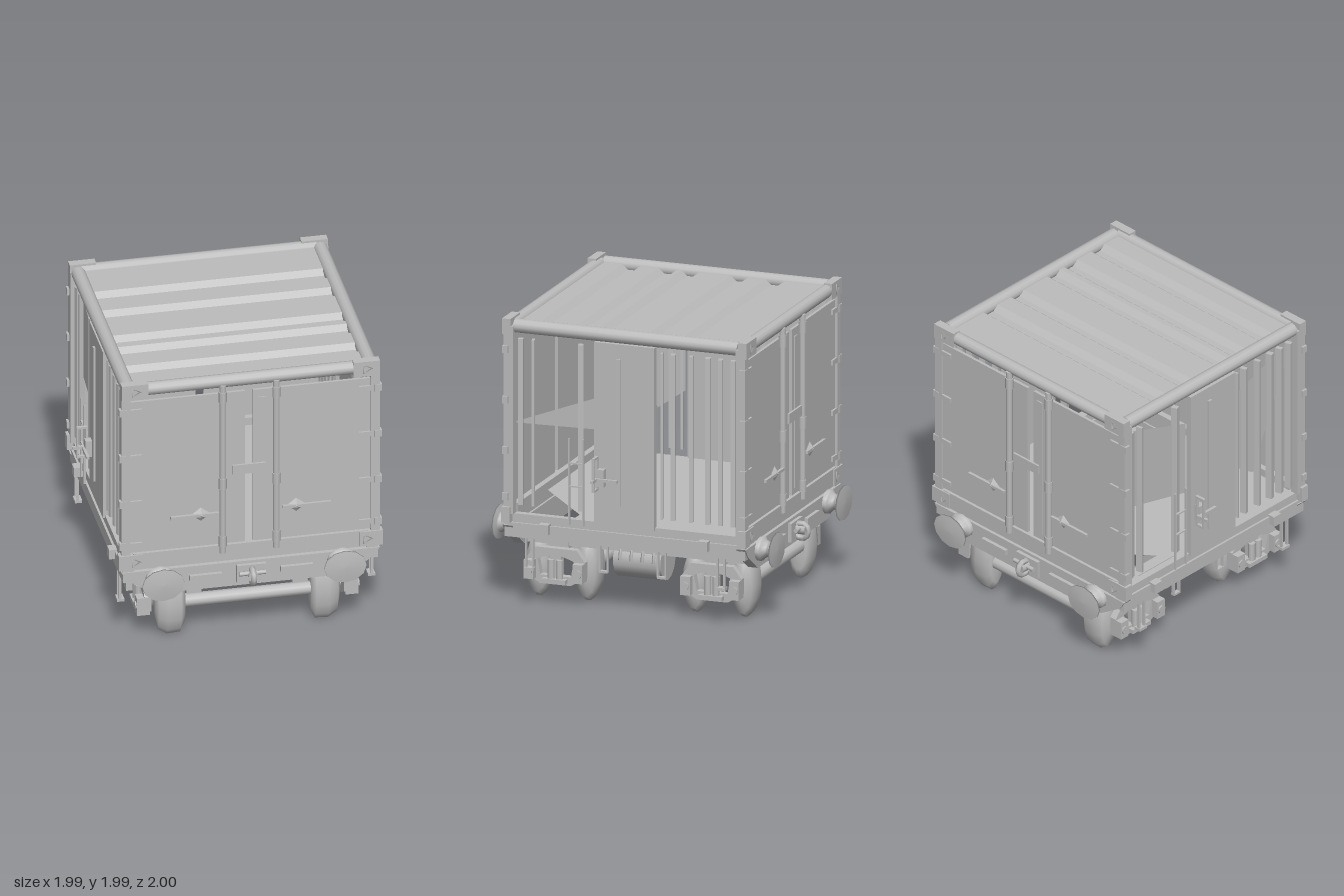
import * as THREE from 'three';

export function createModel() {
  const model = new THREE.Group();
  const grey = new THREE.MeshStandardMaterial({ color: 0xbcbcbc, side: THREE.DoubleSide });
  grey.name = 'plain grey';

  const add = (parent, name, geo, x = 0, y = 0, z = 0) => {
    const m = new THREE.Mesh(geo, grey);
    m.name = name;
    m.position.set(x, y, z);
    parent.add(m);
    return m;
  };
  const box = (p, name, w, h, d, x, y, z) => add(p, name, new THREE.BoxGeometry(w, h, d), x, y, z);
  // Cylinder laid along x, y or z
  const rod = (p, name, axis, r, len, x, y, z, sides = 10) => {
    const g = new THREE.CylinderGeometry(r, r, len, sides);
    if (axis === 'x') g.rotateZ(Math.PI / 2);
    if (axis === 'z') g.rotateX(Math.PI / 2);
    return add(p, name, g, x, y, z);
  };
  const polygon = pts => new THREE.Shape(pts.map(p => new THREE.Vector2(p[0], p[1])));
  // Flat torn sheet standing in the z-y plane
  const sideSheet = (name, x, pts) => {
    const g = new THREE.ShapeGeometry(polygon(pts.map(([z, y]) => [-z, y])));
    g.rotateY(Math.PI / 2);
    add(model, name, g, x);
  };

  // Corrugated roof, extruded across the wagon
  const edges = [[-0.48, -0.39], [-0.22, -0.14], [0.13, 0.21], [0.29, 0.375], [0.55, 0.635]];
  const top = [[-0.84, 1.96]];
  edges.forEach(([a, b]) => top.push([a - 0.022, 1.96], [a + 0.018, 1.925], [b - 0.018, 1.925], [b + 0.022, 1.96]));
  top.push([0.84, 1.96]);
  const under = top.map(([z, y]) => [z, y - 0.012]).reverse();
  const roofGeo = new THREE.ExtrudeGeometry(polygon([...top, ...under]), { depth: 1.56, bevelEnabled: false });
  roofGeo.translate(0, 0, -0.78);
  roofGeo.rotateY(-Math.PI / 2);
  add(model, 'roof', roofGeo);

  // Floor, broken away at two opposite corners
  const floorGeo = new THREE.ShapeGeometry(polygon([[-0.82, 0.83], [-0.82, -0.3], [-0.2, -0.83], [0.82, -0.83], [0.82, 0.3], [0.2, 0.83]]));
  floorGeo.rotateX(Math.PI / 2);
  add(model, 'floor', floorGeo, 0, 0.65, 0);

  // Remaining torn wall sheets
  sideSheet('leftWallSheet', 0.82, [[0.82, 1.27], [0.22, 1.28], [0.22, 1.5]]);
  sideSheet('rightWallFrontSheet', -0.82, [[0.82, 1.88], [0.22, 1.66], [0.22, 1.12], [0.42, 0.98]]);
  sideSheet('rightWallBackSheet', -0.82, [[-0.22, 1.67], [-0.82, 1.88], [-0.82, 1.27], [-0.22, 1.12]]);

  // Oval wheel profile: flange, tread and hub, narrow from front to back
  const wheelGeo = new THREE.LatheGeometry([
    [0.05, -0.1], [0.16, -0.1], [0.225, -0.07], [0.23, 0.02], [0.19, 0.08], [0.08, 0.1], [0, 0.1],
  ].map(p => new THREE.Vector2(...p)), 14);
  wheelGeo.rotateZ(-Math.PI / 2);
  wheelGeo.scale(1, 1, 0.38);

  // Bumper with a wide oval head
  const bumperGeo = new THREE.LatheGeometry([
    [0.1, 0], [0.1, 0.025], [0.085, 0.03], [0.06, 0.06], [0.065, 0.075], [0.09, 0.1], [0.09, 0.112], [0.145, 0.114], [0.143, 0.125], [0, 0.13],
  ].map(p => new THREE.Vector2(...p)), 12);
  bumperGeo.rotateX(Math.PI / 2);
  bumperGeo.scale(1, 0.82, 1);

  // Headstock beam, tapered downwards
  const headGeo = new THREE.ExtrudeGeometry(polygon([[-0.88, 0.57], [-0.84, 0.51], [-0.66, 0.39], [0.66, 0.39], [0.84, 0.51], [0.88, 0.57]]),
    { depth: 0.07, bevelEnabled: false });

  // Bogie side frame seen from the side
  const frame = polygon([[-0.21, 0.2], [-0.11, 0.14], [0.11, 0.14], [0.21, 0.2],
    [0.21, 0.31], [0.15, 0.39], [-0.15, 0.39], [-0.21, 0.31]]);
  [-1, 1].forEach(s => frame.holes.push(new THREE.Path([[0.04, 0.2], [0.11, 0.2], [0.13, 0.31], [0.04, 0.34]]
    .map(([a, b]) => new THREE.Vector2(a * s, b)))));
  const frameGeo = new THREE.ExtrudeGeometry(frame, { depth: 0.05, bevelEnabled: false });
  frameGeo.translate(0, 0, -0.025);
  frameGeo.rotateY(Math.PI / 2);

  const endHalf = () => {
    const g = new THREE.Group();
    g.name = 'wagonHalf';

    // Container end frame
    rod(g, 'topEndRail', 'x', 0.045, 1.6, 0, 1.945, 0.83, 12);
    box(g, 'bottomEndRail', 1.6, 0.12, 0.07, 0, 0.645, 0.83);
    box(g, 'rightDoor', 0.795, 1.15, 0.02, -0.4325, 1.285, 0.84);
    box(g, 'leftDoor', 0.815, 1.15, 0.02, 0.4275, 1.285, 0.84);
    box(g, 'doorSeal', 0.05, 1.05, 0.012, 0.08, 1.28, 0.853);
    box(g, 'doorPlate', 0.23, 0.07, 0.015, -0.015, 1.285, 0.885);

    // Door locking bars and handles
    [-0.19, 0.175].forEach(x => {
      rod(g, 'lockingBar', 'y', 0.023, 1.28, x, 1.29, 0.865, 8);
      [0.74, 1.18, 1.84].forEach(y => rod(g, 'barCollar', 'y', 0.028, 0.08, x, y, 0.865, 8));
    });
    [[-0.385, -0.34], [0.38, 0.31]].forEach(([x, hub]) => {
      box(g, 'doorHandle', 0.33, 0.02, 0.02, x, 0.96, 0.88);
      add(g, 'handleHub', new THREE.OctahedronGeometry(0.06).scale(1.1, 0.85, 0.5), hub, 0.96, 0.865);
    });

    // Parts on both sides of the end
    [-1, 1].forEach(s => {
      box(g, 'cornerPost', 0.06, 1.3, 0.07, s * 0.85, 1.3, 0.83);
      box(g, 'topCorner', 0.18, 0.11, 0.06, s * 0.79, 1.945, 0.845);
      box(g, 'bottomCorner', 0.16, 0.11, 0.06, s * 0.82, 0.645, 0.845);
      [1.945, 0.645].forEach(y =>
        add(g, 'cornerSocket', new THREE.TorusGeometry(0.035, 0.008, 4, 3), s * 0.79, y, 0.875));
      [0.77, 1.09, 1.44, 1.79].forEach(y => {
        box(g, 'hinge', 0.05, 0.05, 0.04, s * 0.87, y, 0.85);
        box(g, 'hingeLeaf', 0.08, 0.035, 0.015, s * 0.78, y, 0.857);
      });
      add(g, 'endBumper', bumperGeo, s * 0.62, 0.515, 0.87);
      box(g, 'headstockBox', 0.22, 0.04, 0.03, s * 0.31, 0.488, 0.88);

      // Bogie with two axles
      [0.385, 0.735].forEach(z => {
        const w = add(g, 'wheel', wheelGeo, s * 0.53, 0.235, z);
        if (s < 0) w.rotation.y = Math.PI;
        box(g, 'axleBox', 0.09, 0.13, 0.07, s * 0.71, 0.24, z);
        rod(g, 'axleCap', 'x', 0.03, 0.03, s * 0.75, 0.24, z, 8);
      });
      add(g, 'bogieFrame', frameGeo, s * 0.68, 0, 0.56);
      [-0.03, 0.03].forEach(d => rod(g, 'spring', 'y', 0.025, 0.13, s * 0.71, 0.25, 0.56 + d, 8));
      box(g, 'springCradle', 0.07, 0.03, 0.17, s * 0.71, 0.17, 0.56);
      box(g, 'bogieArm', 0.1, 0.09, 0.36, s * 0.36, 0.335, 0.56);
      box(g, 'bogieHanger', 0.1, 0.12, 0.14, s * 0.6, 0.44, 0.56);

      // Hanging steps, side lugs and brackets
      [0.66, 0.71].forEach(z => box(g, 'stepHanger', 0.02, 0.3, 0.012, s * 0.86, 0.42, z));
      box(g, 'stepTread', 0.05, 0.02, 0.07, s * 0.855, 0.28, 0.685);
      box(g, 'sideLug', 0.06, 0.07, 0.07, s * 0.88, 0.57, 0.57);
      [0.18, 0.235].forEach(z => box(g, 'bracketArm', 0.02, 0.22, 0.012, s * 0.72, 0.38, z));
      box(g, 'bracketFoot', 0.03, 0.015, 0.06, s * 0.72, 0.27, 0.208);
    });

    [0.385, 0.735].forEach(z => rod(g, 'axle', 'x', 0.047, 0.9, 0, 0.24, z, 10));
    box(g, 'bogieBolster', 1.3, 0.06, 0.12, 0, 0.43, 0.56);
    add(g, 'headstock', headGeo, 0, 0, 0.8);

    // Draw hook with coupling screw
    box(g, 'hookPlate', 0.2, 0.13, 0.03, 0, 0.485, 0.88);
    rod(g, 'hookShank', 'z', 0.035, 0.08, 0, 0.49, 0.92, 8);
    rod(g, 'couplingPin', 'x', 0.015, 0.18, 0, 0.5, 0.92, 8);
    add(g, 'drawHook', new THREE.TorusGeometry(0.05, 0.022, 6, 10).rotateY(Math.PI / 2), 0, 0.48, 0.925);

    // One long side of the wagon
    rod(g, 'topSideRail', 'z', 0.048, 1.6, 0.825, 1.945, 0, 12);
    box(g, 'bottomSideRail', 0.05, 0.06, 1.62, 0.83, 0.62, 0);
    box(g, 'chassisRail', 0.08, 0.1, 1.72, 0.83, 0.54, 0);
    box(g, 'innerSill', 0.08, 0.1, 1.62, 0.6, 0.45, 0);
    rod(g, 'airTank', 'z', 0.14, 0.34, 0.51, 0.335, 0, 14);
    [-0.12, -0.04, 0.04, 0.12].forEach(z =>
      add(g, 'tankStrap', new THREE.TorusGeometry(0.14, 0.012, 5, 14, Math.PI), 0.51, 0.34, z));

    // Side door with bar and latch
    box(g, 'sideDoor', 0.04, 1.27, 0.43, 0.85, 1.265, 0.005);
    box(g, 'sideDoorBar', 0.02, 1.02, 0.03, 0.875, 1.29, 0.045);
    box(g, 'latchBar', 0.02, 0.02, 0.17, 0.92, 0.96, 0.12);
    box(g, 'latchPlate', 0.05, 0.12, 0.05, 0.89, 0.97, 0.16);
    box(g, 'latchLever', 0.09, 0.02, 0.02, 0.95, 0.96, 0.19);
    [0.9, 0.96].forEach(x => box(g, 'latchLoopSide', 0.015, 0.22, 0.02, x, 1.0, 0.19));
    [0.89, 1.11].forEach(y => box(g, 'latchLoopEnd', 0.075, 0.015, 0.02, 0.93, y, 0.19));
    [0.29, 0.39].forEach(z => box(g, 'ladderRail', 0.015, 0.6, 0.01, 0.89, 0.92, z));
    [0.89, 1.05].forEach(y => box(g, 'ladderRung', 0.015, 0.01, 0.1, 0.89, y, 0.34));

    // Side wall ribs
    [[0.76, 0.035], [0.67, 0.02], [0.33, 0.035], [-0.25, 0.015], [-0.33, 0.03], [-0.46, 0.025], [-0.58, 0.035], [-0.67, 0.03], [-0.76, 0.03]]
      .forEach(([z, d]) => {
        box(g, 'wallRib', 0.045, 1.15, d, 0.83, 1.285, z).rotation.y = 0.3;
      });
    return g;
  };

  // The two ends match after a half turn
  const front = endHalf();
  const back = endHalf();
  back.rotation.y = Math.PI;
  model.add(front, back);
  return model;
}
